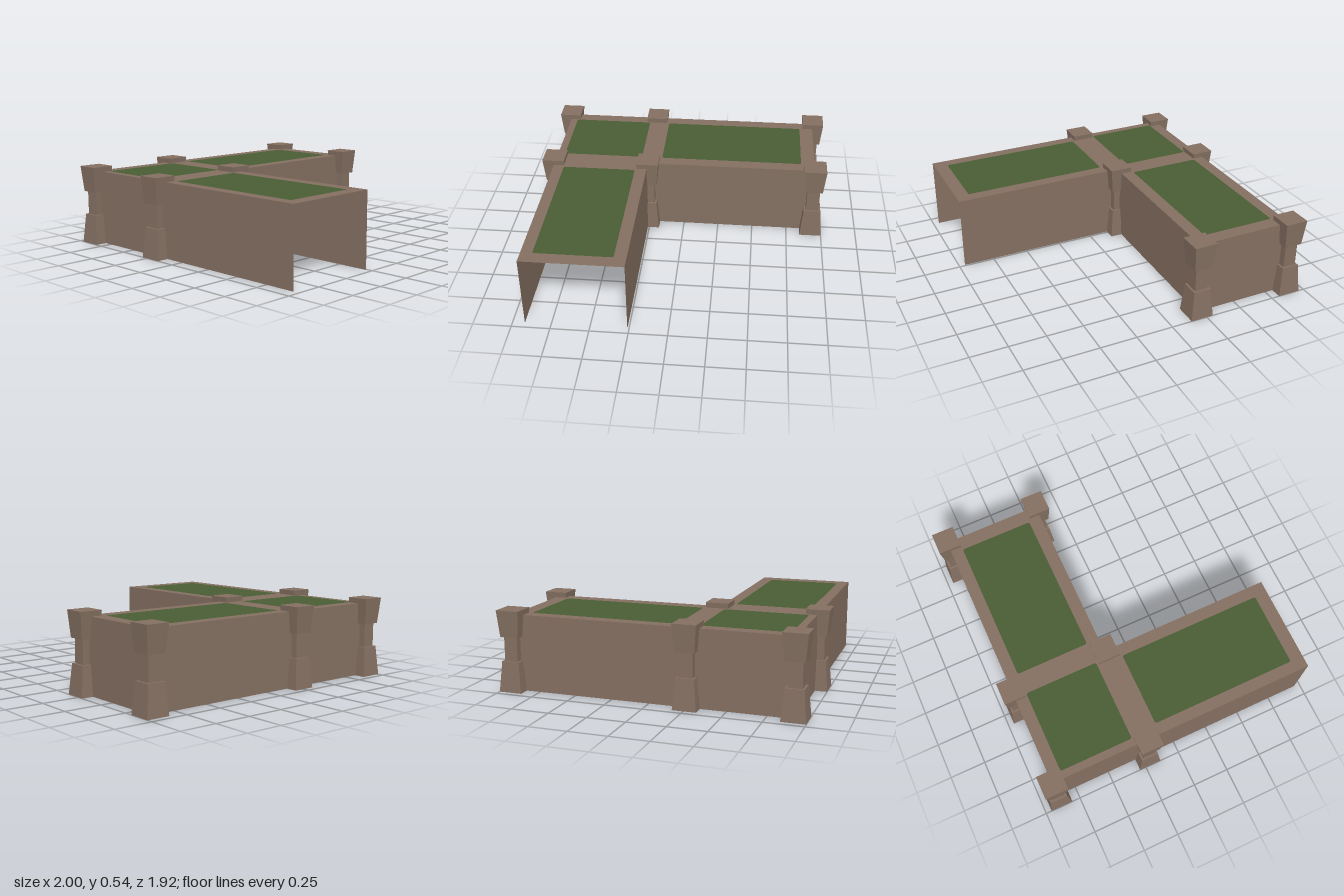
import * as THREE from 'three';

const HEIGHT = 0.5;
// Wall run as [x, z]; the wing's front end stays open
const RUN = [[-0.26, 0.96], [-0.26, -0.22], [0.92, -0.22], [0.92, -0.885], [-0.92, -0.885], [-0.92, 0.96]];
// Grass beds as [x0, x1, z0, z1]
const BEDS = [
  [-0.87, -0.31, -0.805, -0.305],
  [-0.165, 0.825, -0.805, -0.305],
  [-0.845, -0.34, -0.125, 0.87],
];

// Rectangle with small rounded corners, drawn with y = -z
function bedOutline(shape, [x0, x1, z0, z1], r = 0.015) {
  const y0 = -z1, y1 = -z0;
  shape.moveTo(x0 + r, y0);
  shape.lineTo(x1 - r, y0);
  shape.quadraticCurveTo(x1, y0, x1, y0 + r);
  shape.lineTo(x1, y1 - r);
  shape.quadraticCurveTo(x1, y1, x1 - r, y1);
  shape.lineTo(x0 + r, y1);
  shape.quadraticCurveTo(x0, y1, x0, y1 - r);
  shape.lineTo(x0, y0 + r);
  shape.quadraticCurveTo(x0, y0, x0 + r, y0);
  return shape;
}

export function createModel() {
  const stone = new THREE.MeshStandardMaterial({ color: 0x846f61, side: THREE.DoubleSide, flatShading: true });
  stone.name = 'stone';
  const grass = new THREE.MeshStandardMaterial({ color: 0x4a5d34, side: THREE.DoubleSide, flatShading: true });
  grass.name = 'grass';

  const model = new THREE.Group();
  model.name = 'wallCorner';
  const add = (name, geometry, material) => {
    const mesh = new THREE.Mesh(geometry, material);
    mesh.name = name;
    model.add(mesh);
    return mesh;
  };
  const flat = (shape) => new THREE.ShapeGeometry(shape, 4).rotateX(-Math.PI / 2).translate(0, HEIGHT, 0);

  // Single-sheet walls, open underneath
  for (let i = 0; i < RUN.length - 1; i++) {
    const [ax, az] = RUN[i], [bx, bz] = RUN[i + 1];
    const wall = add('wall', new THREE.PlaneGeometry(Math.hypot(bx - ax, bz - az), HEIGHT), stone);
    wall.position.set((ax + bx) / 2, HEIGHT / 2, (az + bz) / 2);
    wall.rotation.y = Math.atan2(az - bz, bx - ax);
  }

  // Top rim with the beds cut out, and the beds set into it
  const rim = new THREE.Shape(RUN.map(([x, z]) => new THREE.Vector2(x, -z)));
  BEDS.forEach((bed) => rim.holes.push(bedOutline(new THREE.Path(), bed)));
  add('topRim', flat(rim), stone);
  BEDS.forEach((bed) => add('grassBed', flat(bedOutline(new THREE.Shape(), bed)), grass));

  // Square pillars with flared foot and head, open at the bottom
  const profile = [[0.077, 0], [0.059, 0.2], [0.045, 0.2], [0.045, 0.36], [0.062, 0.36], [0.077, 0.535], [0, 0.535]];
  const pillar = new THREE.LatheGeometry(
    profile.map(([half, y]) => new THREE.Vector2(half * Math.SQRT2, y)), 4,
  ).rotateY(Math.PI / 4);
  for (const x of [-0.923, -0.255, 0.923]) {
    for (const z of [-0.884, -0.217]) {
      add('pillar', pillar, stone).position.set(x, 0, z);
    }
  }
  return model;
}
